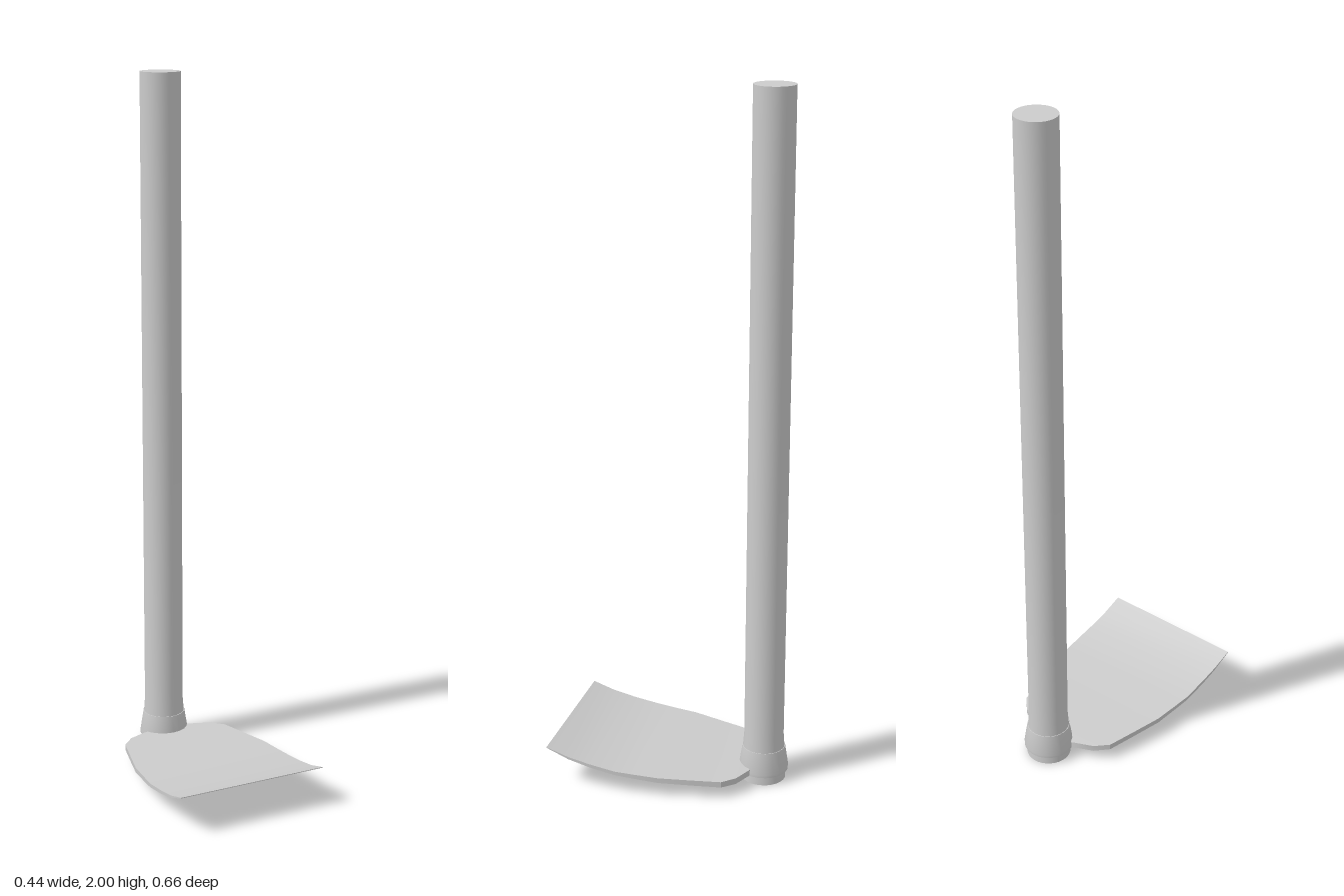
import * as THREE from 'three';
import { toCreasedNormals } from 'three/addons/utils/BufferGeometryUtils.js';

const HANDLE_Z = -0.26;

// Loft of rectangular sections [z, half width, top y, thickness], back to front
function bladeGeometry(sections) {
  const pos = [], index = [];
  for (const [z, w, y, t] of sections) {
    pos.push(-w, y, z, w, y, z, w, y - t, z, -w, y - t, z);
  }
  for (let s = 0; s < sections.length - 1; s++) {
    for (let k = 0; k < 4; k++) {
      const a = s * 4 + k, b = s * 4 + (k + 1) % 4;
      index.push(a, a + 4, b, b, a + 4, b + 4);
    }
  }
  const e = (sections.length - 1) * 4;
  index.push(0, 1, 2, 0, 2, 3, e, e + 2, e + 1, e, e + 3, e + 2);
  const g = new THREE.BufferGeometry();
  g.setAttribute('position', new THREE.Float32BufferAttribute(pos, 3));
  g.setIndex(index);
  return toCreasedNormals(g, 0.5);
}

// Solid of revolution with crisp rims
function turned(points, sides) {
  const profile = points.map(([r, y]) => new THREE.Vector2(r, y));
  return toCreasedNormals(new THREE.LatheGeometry(profile, sides), 0.5);
}

export function createModel() {
  const model = new THREE.Group();
  const material = new THREE.MeshStandardMaterial({ color: 0xcccccc });
  const add = (name, geometry, z = 0) => {
    const mesh = new THREE.Mesh(geometry, material);
    mesh.name = name;
    mesh.position.z = z;
    model.add(mesh);
  };

  // Round shaft, swelling slightly at the foot
  add('handle', turned([[0, 0], [0.064, 0], [0.063, 0.06], [0.057, 0.14], [0.057, 2], [0, 2]], 32), HANDLE_Z);

  // Tapered socket ring around the foot
  add('collar', turned([[0.06, 0.027], [0.071, 0.027], [0.072, 0.036], [0.062, 0.1], [0.056, 0.1]], 20), HANDLE_Z);

  // Broad blade, curving up to a thin cutting edge
  add('blade', bladeGeometry([
    [-0.235, 0.07, 0.048, 0.018],
    [-0.21, 0.13, 0.05, 0.018],
    [-0.175, 0.165, 0.051, 0.017],
    [-0.09, 0.186, 0.055, 0.016],
    [0, 0.208, 0.06, 0.015],
    [0.07, 0.214, 0.064, 0.013],
    [0.125, 0.219, 0.068, 0.011],
    [0.2, 0.219, 0.08, 0.01],
    [0.265, 0.219, 0.094, 0.007],
    [0.33, 0.219, 0.116, 0.002],
  ]));

  return model;
}
